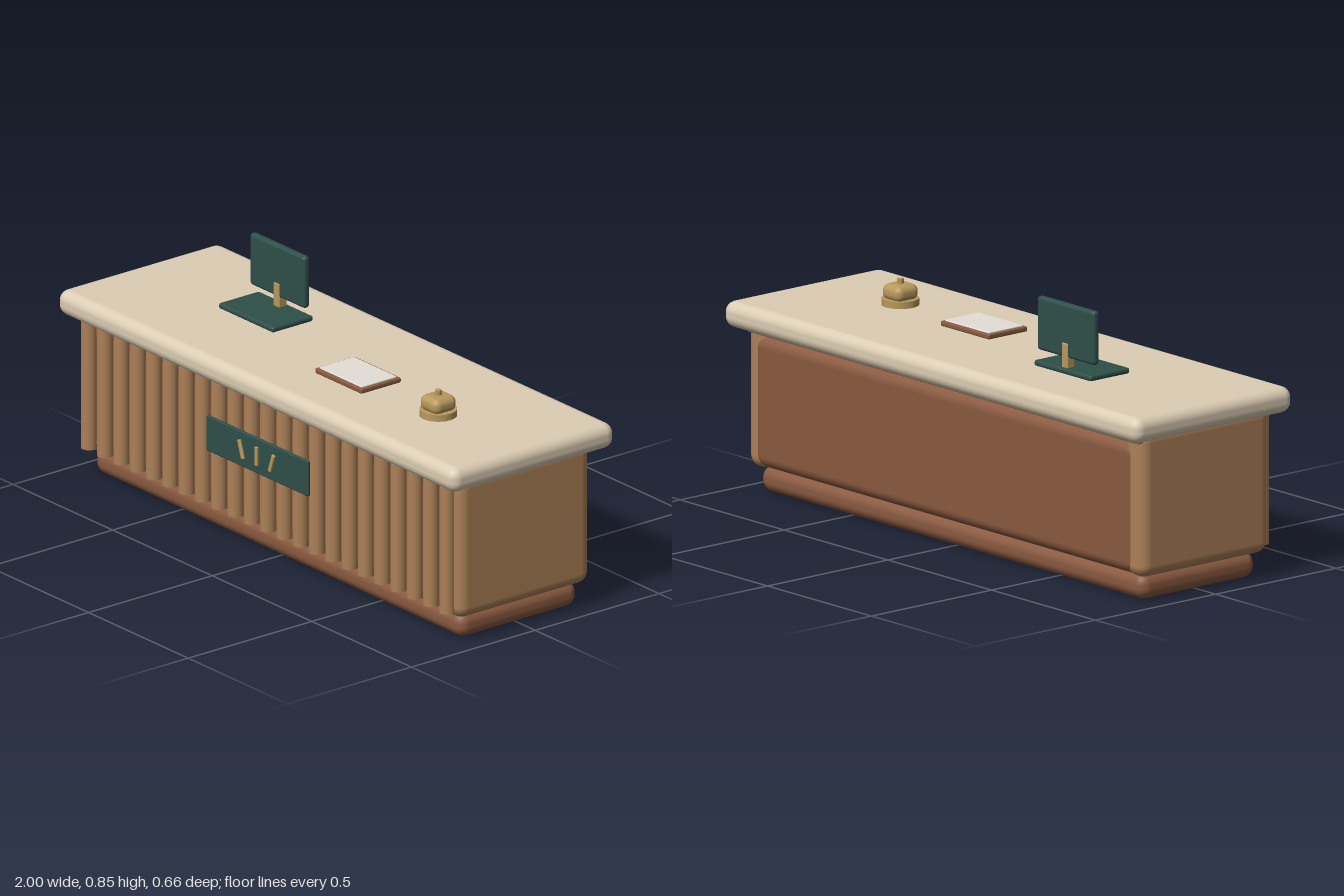
import * as THREE from 'three';
import { RoundedBoxGeometry } from 'three/addons/geometries/RoundedBoxGeometry.js';

const mat = (color) => new THREE.MeshStandardMaterial({ color });

export function createModel() {
  const group = new THREE.Group();
  const stone = mat(0xdccdb4), wood = mat(0xad8158), darkWood = mat(0x8a5a40);
  const green = mat(0x2f4f49), brass = mat(0xb8995c), white = mat(0xe4e0d8);

  const add = (name, geometry, material, x, y, z) => {
    const mesh = new THREE.Mesh(geometry, material);
    mesh.name = name;
    mesh.position.set(x, y, z);
    group.add(mesh);
    return mesh;
  };
  // Rounded box given by its extents on each axis
  const block = (name, material, [x0, x1], [y0, y1], [z0, z1], r) =>
    add(name, new RoundedBoxGeometry(x1 - x0, y1 - y0, z1 - z0, 3, r), material,
      (x0 + x1) / 2, (y0 + y1) / 2, (z0 + z1) / 2);

  // Counter carcass
  block('plinth', darkWood, [-0.925, 0.925], [0, 0.085], [-0.24, 0.24], 0.038);
  block('body', darkWood, [-0.92, 0.92], [0.085, 0.52], [-0.27, 0.262], 0.042);
  for (const s of [-1, 1]) {
    const panel = block('endPanel', wood, [0.86, 0.955], [0.08, 0.56], [-0.266, 0.27], 0.04);
    panel.position.x *= s;
  }
  block('trim', brass, [-0.945, 0.945], [0.52, 0.542], [-0.275, 0.278], 0.008);
  block('countertop', stone, [-1, 1], [0.535, 0.62], [-0.33, 0.33], 0.036);

  // Fluted front
  const slatGeometry = new THREE.CylinderGeometry(0.027, 0.027, 0.43, 14);
  const slats = 23;
  for (let i = 0; i < slats; i++) {
    add('slat', slatGeometry, wood, -0.9 + (1.8 * i) / (slats - 1), 0.315, 0.273);
  }

  // Front plaque with three brass bars
  block('plaque', green, [-0.256, 0.254], [0.30, 0.42], [0.307, 0.319], 0.005);
  for (const s of [-1, 0, 1]) {
    const bar = add('plaqueBar', new RoundedBoxGeometry(0.014, 0.064, 0.012, 2, 0.003),
      brass, s * 0.077, 0.36, 0.32);
    bar.rotation.z = -s * 0.33;
  }

  // Monitor
  block('monitorBase', green, [-0.545, -0.27], [0.622, 0.641], [-0.127, 0.038], 0.008);
  block('monitorStand', brass, [-0.422, -0.392], [0.63, 0.72], [-0.117, -0.086], 0.004);
  block('monitorScreen', green, [-0.545, -0.27], [0.672, 0.847], [-0.114, -0.088], 0.011);

  // Clipboard and paper
  block('clipboard', darkWood, [0.072, 0.306], [0.62, 0.637], [-0.018, 0.144], 0.005);
  block('paper', white, [0.082, 0.296], [0.63, 0.641], [-0.008, 0.134], 0.003);

  // Service bell
  const bx = 0.593, bz = 0.064;
  add('bellBase', new THREE.CylinderGeometry(0.06, 0.06, 0.022, 24), brass, bx, 0.631, bz);
  block('bellDome', brass, [bx - 0.046, bx + 0.046], [0.635, 0.689], [bz - 0.046, bz + 0.046], 0.024);
  add('bellButton', new THREE.CylinderGeometry(0.011, 0.011, 0.022, 16), brass, bx, 0.694, bz);

  return group;
}
